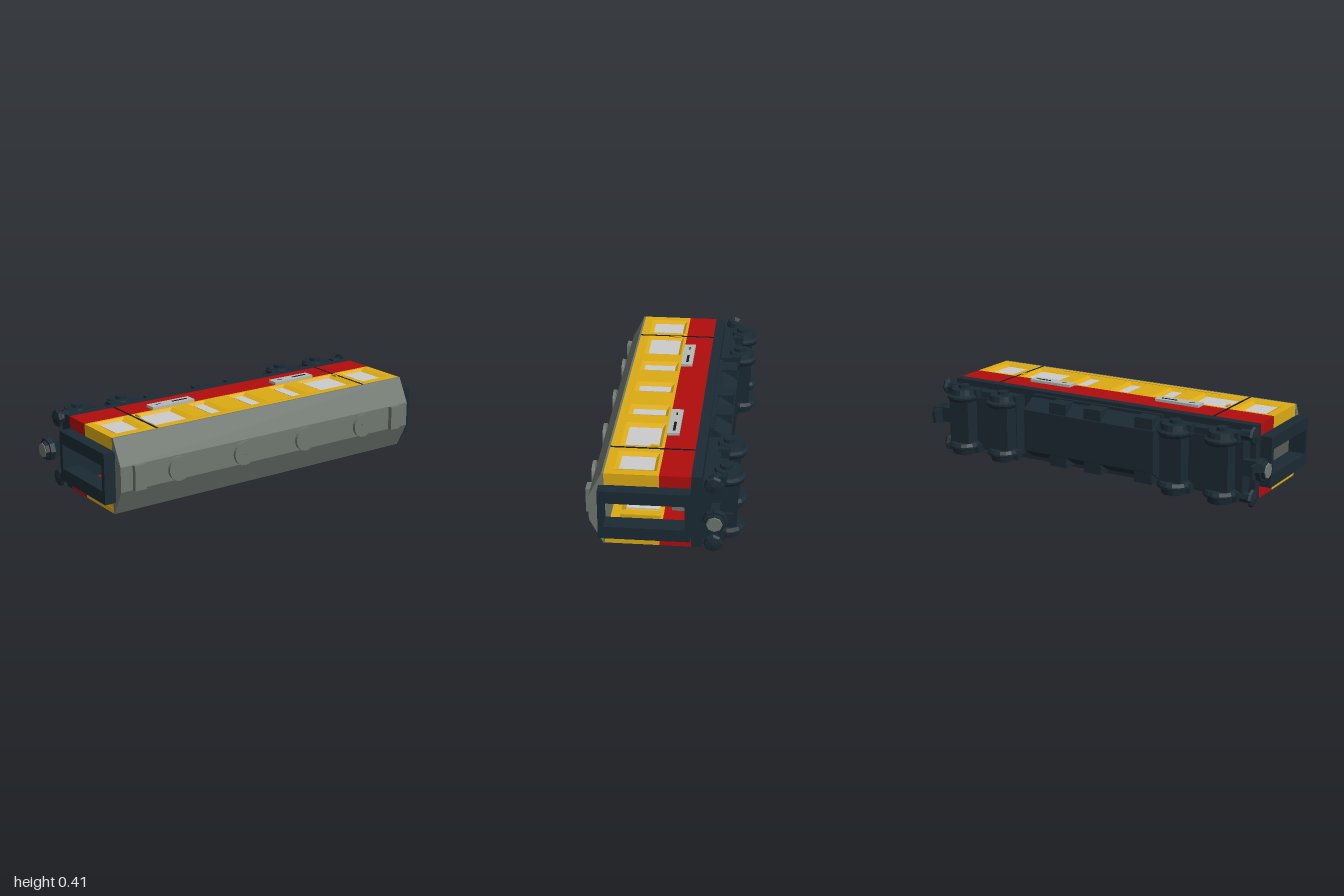
import * as THREE from 'three';

const paint = (color) => new THREE.MeshStandardMaterial({ color, flatShading: true, side: THREE.DoubleSide });
const DARK = paint(0x1b2a34), YELLOW = paint(0xdcab14), RED = paint(0xb00c0c), ROOF = paint(0x6f766f),
  PANE = paint(0xd4d4d4), PLATE = paint(0xb4b8b4), BROWN = paint(0x6a3522), BLACK = paint(0x15191b);

function add(parent, name, geometry, material, x = 0, y = 0, z = 0) {
  const mesh = new THREE.Mesh(geometry, material);
  mesh.name = name;
  mesh.position.set(x, y, z);
  parent.add(mesh);
  return mesh;
}

// Box given by its limits on each axis
function box(parent, name, material, x0, x1, y0, y1, z0, z1) {
  return add(parent, name, new THREE.BoxGeometry(x1 - x0, y1 - y0, z1 - z0), material,
    (x0 + x1) / 2, (y0 + y1) / 2, (z0 + z1) / 2);
}

// Cross-section in (y, z) drawn out along x
function prism(points, x0, x1, hole) {
  const shape = new THREE.Shape(points.map(([y, z]) => new THREE.Vector2(y, z)));
  if (hole) shape.holes.push(new THREE.Path(hole.map(([y, z]) => new THREE.Vector2(y, z))));
  const g = new THREE.ExtrudeGeometry(shape, { depth: x1 - x0, bevelEnabled: false });
  g.applyMatrix4(new THREE.Matrix4().makeBasis(
    new THREE.Vector3(0, 1, 0), new THREE.Vector3(0, 0, 1), new THREE.Vector3(1, 0, 0)));
  return g.translate(x0, 0, 0);
}

const rect = (a0, a1, b0, b1) => [[a0, b0], [a1, b0], [a1, b1], [a0, b1]];

// Sloping reveal from an outer rectangle down to an inner one
function reveal(outer, yOuter, inner, yInner) {
  const pos = [], index = [];
  outer.forEach(([x, z]) => pos.push(x, yOuter, z));
  inner.forEach(([x, z]) => pos.push(x, yInner, z));
  for (let i = 0; i < 4; i++) {
    const j = (i + 1) % 4;
    index.push(i, j, j + 4, i, j + 4, i + 4);
  }
  const g = new THREE.BufferGeometry();
  g.setAttribute('position', new THREE.Float32BufferAttribute(pos, 3));
  g.setIndex(index);
  const flat = g.toNonIndexed();
  flat.computeVertexNormals();
  return flat;
}

// One side of the carriage, facing +y
function makeSide() {
  const side = new THREE.Group();
  side.name = 'bodySide';
  const H = 0.191;
  const wall = new THREE.Shape(rect(-0.9, 0.9, 0.02, 0.28).map((p) => new THREE.Vector2(...p)));
  const windows = [[-0.77, 0.06], [-0.52, 0.09], [-0.255, 0.028], [-0.005, 0.028], [0.255, 0.028], [0.51, 0.09], [0.77, 0.06]];
  for (const [cx, half] of windows) {
    const outer = rect(cx - half - 0.028, cx + half + 0.028, 0.035, 0.235);
    const inner = rect(cx - half, cx + half, 0.05, 0.215);
    wall.holes.push(new THREE.Path(outer.map((p) => new THREE.Vector2(...p))));
    add(side, 'windowReveal', reveal(outer, H, inner, H - 0.014), YELLOW);
    box(side, 'windowPane', PANE, cx - half, cx + half, H - 0.02, H - 0.012, 0.05, 0.215);
  }
  const g = new THREE.ExtrudeGeometry(wall, { depth: 0.025, bevelEnabled: false }).rotateX(Math.PI / 2);
  add(side, 'upperWall', g, YELLOW, 0, H);
  box(side, 'lowerWall', RED, -0.9, 0.9, H - 0.04, H, -0.13, 0.02);
  box(side, 'gutter', YELLOW, -0.49, 0.49, H, H + 0.002, 0.247, 0.254);

  for (const s of [-1, 1]) {
    // Door seam and handle
    const dx = s * 0.645;
    box(side, 'doorSeam', BLACK, dx - 0.006, dx + 0.006, H, H + 0.001, -0.13, 0.28);
    box(side, 'doorHandle', YELLOW, dx - s * 0.02 - 0.006, dx - s * 0.02 + 0.006, H, H + 0.008, 0.05, 0.088);

    // Corner posts beside the end opening
    const e0 = s > 0 ? 0.875 : -0.898, e1 = s > 0 ? 0.898 : -0.875;
    box(side, 'cornerPost', YELLOW, e0, e1, 0.125, H - 0.002, 0.02, 0.28);
    box(side, 'lowerCornerPost', RED, e0, e1, 0.125, H - 0.002, -0.13, 0.02);

    // Perforated sign plate
    const px = s * 0.385;
    box(side, 'sidePlate', PLATE, px - 0.125, px + 0.125, H, 0.205, -0.04, 0.021);
    box(side, 'plateSlot', BLACK, px + 0.01, px + 0.1, 0.205, 0.2055, -0.018, -0.005);
    box(side, 'plateSlot', BLACK, px - 0.09, px - 0.06, 0.205, 0.2055, -0.015, -0.008);
  }
  return side;
}

// One wheelset with its axle casing
function addWheelset(parent, x) {
  const z = -0.295;
  box(parent, 'axleCasing', DARK, x - 0.06, x + 0.06, -0.128, 0.128, -0.34, -0.18);
  for (const s of [-1, 1]) {
    const profile = [[0, 0.115], [0.075, 0.115], [0.085, 0.132], [0.085, 0.142], [0.068, 0.15], [0.062, 0.178], [0, 0.178]];
    const wheel = add(parent, 'wheel', new THREE.LatheGeometry(profile.map((p) => new THREE.Vector2(...p)), 16), DARK, x, 0, z);
    if (s < 0) wheel.rotation.x = Math.PI;
    add(parent, 'axleBearing', new THREE.CylinderGeometry(0.03, 0.03, 0.02, 8), DARK, x, s * 0.185, z + 0.01);
    box(parent, 'springBox', DARK, x - 0.085, x + 0.085, s * 0.15 - 0.025, s * 0.15 + 0.025, -0.29, -0.24);
  }
}

// One end: gangway, bogie, buffers and coupling, at +x
function makeEnd() {
  const end = new THREE.Group();
  end.name = 'carriageEnd';
  add(end, 'gangwayFrame', prism(rect(-0.128, 0.128, -0.13, 0.305), 0.87, 0.96,
    rect(-0.064, 0.064, -0.105, 0.28)), DARK);

  box(end, 'bogieFrame', DARK, 0.45, 0.87, -0.128, 0.128, -0.26, -0.18);
  for (const s of [-1, 1]) box(end, 'bogieBeam', DARK, 0.45, 0.87, s * 0.14 - 0.02, s * 0.14 + 0.02, -0.25, -0.185);
  addWheelset(end, 0.515);
  addWheelset(end, 0.77);

  // Buffers
  for (const s of [-1, 1]) {
    const profile = [[0, -0.05], [0.028, -0.05], [0.028, 0], [0.047, 0.01], [0.04, 0.022], [0, 0.03]];
    const buffer = add(end, 'buffer', new THREE.LatheGeometry(profile.map((p) => new THREE.Vector2(...p)), 8), DARK,
      0.9, s * 0.158, -0.235);
    buffer.rotation.z = -Math.PI / 2;
  }

  // Coupling with a round magnet face
  box(end, 'couplingArm', DARK, 0.85, 0.95, -0.04, 0.04, -0.265, -0.225);
  box(end, 'couplingCross', DARK, 0.94, 0.955, -0.035, 0.035, -0.33, -0.2);
  for (const [r, x0, x1, m] of [[0.06, 0.953, 0.978, DARK], [0.046, 0.978, 0.996, DARK], [0.039, 0.996, 1, ROOF]]) {
    add(end, 'couplingHead', new THREE.CylinderGeometry(r * 0.95, r, x1 - x0, 8), m, (x0 + x1) / 2, 0, -0.245)
      .rotation.z = -Math.PI / 2;
  }
  return end;
}

export function createModel() {
  const model = new THREE.Group();
  model.name = 'railwayCarriage';
  const car = new THREE.Group();
  car.name = 'carriage';
  car.position.y = 0.206;
  model.add(car);

  // The second side and end are half turns of the first
  for (const make of [makeSide, makeEnd]) {
    car.add(make());
    const other = make();
    other.rotation.z = Math.PI;
    car.add(other);
  }

  // Roof with vents
  add(car, 'roof', prism([[-0.191, 0.28], [0.191, 0.28], [0.191, 0.29], [0.063, 0.355], [-0.063, 0.355], [-0.191, 0.29]],
    -0.9, 0.9), ROOF);
  for (const x of [-0.58, -0.195, 0.19, 0.575]) {
    add(car, 'roofVent', new THREE.CylinderGeometry(0.062, 0.062, 0.016, 20), ROOF, x, 0, 0.372).rotation.x = Math.PI / 2;
    add(car, 'ventStem', new THREE.CylinderGeometry(0.04, 0.04, 0.03, 12), ROOF, x, 0, 0.36).rotation.x = Math.PI / 2;
    for (const a of [1, 3]) {
      const bar = add(car, 'ventRib', new THREE.BoxGeometry(0.055, 0.006, 0.002), ROOF, x, 0, 0.38);
      bar.rotation.z = a * Math.PI / 4;
    }
  }
  for (const s of [-1, 1]) box(car, 'roofHatch', ROOF, s * 0.802 - 0.032, s * 0.802 + 0.032, -0.063, 0.063, 0.355, 0.378);

  // Underframe
  box(car, 'underframe', DARK, -0.9, 0.9, -0.191, 0.191, -0.18, -0.13);

  // Equipment casing with chamfered edges and lockers
  add(car, 'equipmentCasing', prism([[-0.16, -0.18], [-0.16, -0.21], [-0.11, -0.284], [0.11, -0.284], [0.16, -0.21], [0.16, -0.18]],
    -0.39, 0.385), DARK);
  for (const s of [-1, 1]) {
    for (const x of [-0.33, -0.03, 0.18]) {
      box(car, 'equipmentLocker', DARK, x - 0.05, x + 0.05, s * 0.14 - 0.03, s * 0.14 + 0.03, -0.28, -0.18);
    }
    box(car, 'equipmentRail', DARK, -0.39, 0.385, s * 0.165 - 0.01, s * 0.165 + 0.01, -0.2, -0.18);
  }

  // Seats facing each other along the cabin
  for (let i = 0; i < 4; i++) {
    const x = -0.6 + i * 0.4;
    box(car, 'seatBase', ROOF, x - 0.1, x + 0.1, -0.12, 0.12, -0.13, -0.02);
    box(car, 'seatBack', ROOF, x - 0.02, x + 0.02, -0.12, 0.12, -0.02, 0.125);
    box(car, 'headRest', PLATE, x - 0.02, x + 0.02, -0.12, 0.12, 0.125, 0.15);
  }

  // Seated passenger
  box(car, 'passengerBody', ROOF, 0.66, 0.72, -0.05, 0.05, -0.02, 0.15);
  add(car, 'passengerHead', new THREE.SphereGeometry(0.052, 12, 8), BROWN, 0.69, 0.008, 0.2);

  return model;
}
